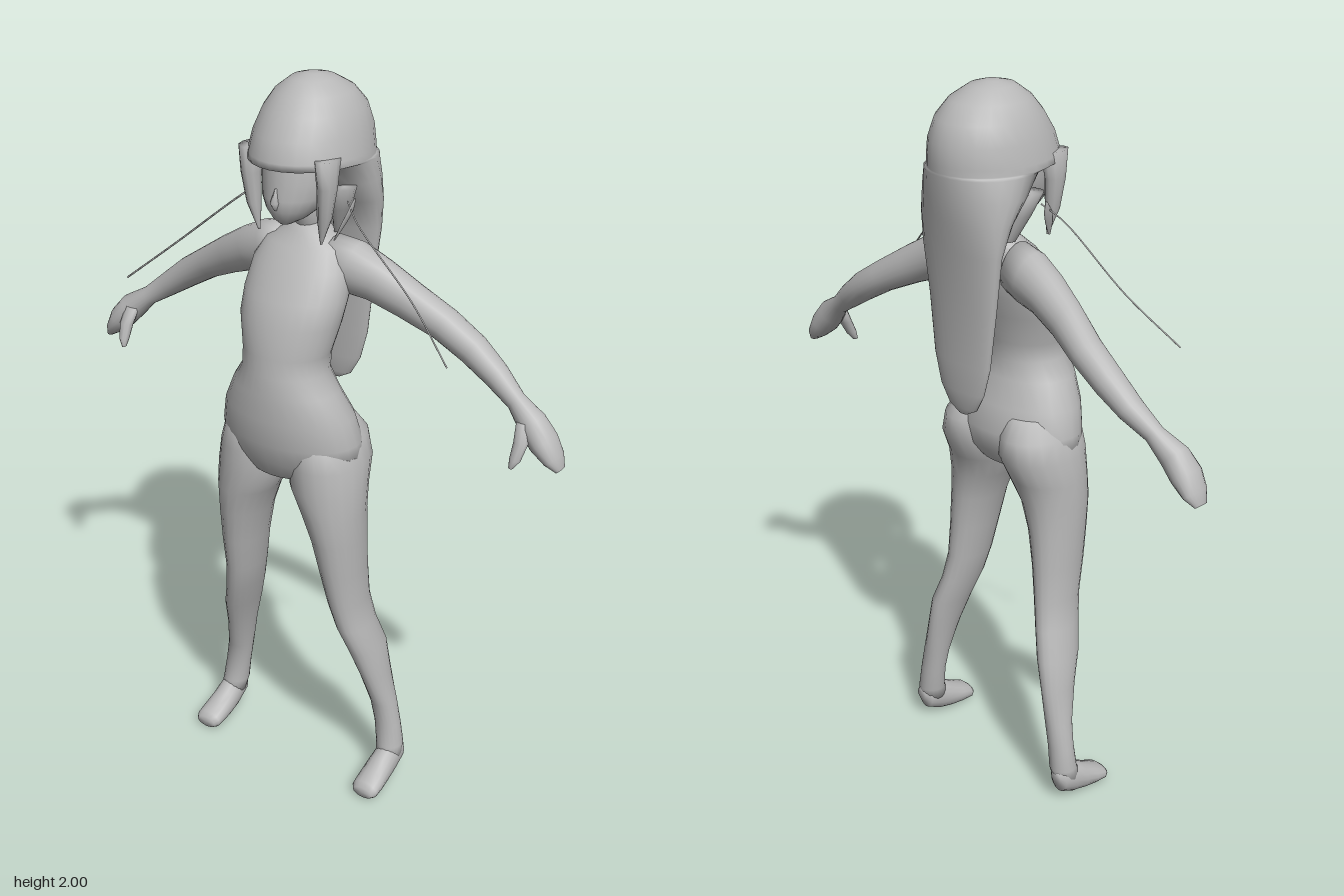
import * as THREE from 'three';

const grey = new THREE.MeshStandardMaterial({ color: 0xb8b8b8 });
grey.name = 'plain grey';

// Skin over elliptical rings {c, u, v}, where u x v points along the path; side -1 mirrors in x.
function skin(name, rings, side = 1, seg = 20) {
  const pos = [], idx = [], n = rings.length;
  const put = (p) => pos.push(p.x * side, p.y, p.z);
  const tri = (a, b, c) => (side > 0 ? idx.push(a, b, c) : idx.push(a, c, b));
  for (const { c, u, v } of rings) {
    for (let k = 0; k < seg; k++) {
      const a = (k / seg) * Math.PI * 2;
      put(c.clone().addScaledVector(u, Math.cos(a)).addScaledVector(v, Math.sin(a)));
    }
  }
  put(rings[0].c);
  put(rings[n - 1].c);
  for (let k = 0; k < seg; k++) {
    const k2 = (k + 1) % seg;
    for (let i = 0; i < n - 1; i++) {
      const a = i * seg + k, b = i * seg + k2;
      tri(a, b, a + seg);
      tri(b, b + seg, a + seg);
    }
    tri(n * seg, k2, k);
    tri(n * seg + 1, (n - 1) * seg + k, (n - 1) * seg + k2);
  }
  const g = new THREE.BufferGeometry();
  g.setAttribute('position', new THREE.Float32BufferAttribute(pos, 3));
  g.setIndex(idx);
  g.computeVertexNormals();
  const mesh = new THREE.Mesh(g, grey);
  mesh.name = name;
  return mesh;
}

const V = (x, y, z) => new THREE.Vector3(x, y, z);

// Level rings listed from the top down: [y, xMin, xMax, zFront, zBack]
const level = (rows) => rows.map(([y, x0, x1, zf, zb]) => ({
  c: V((x0 + x1) / 2, y, (zf + zb) / 2), u: V((x1 - x0) / 2, 0, 0), v: V(0, 0, (zf - zb) / 2),
}));
// Centred level rings: [y, halfWidth, zFront, zBack]
const centred = (rows) => level(rows.map(([y, w, zf, zb]) => [y, -w, w, zf, zb]));
// Upright rings listed from back to front: [z, xMin, xMax, yTop, yBottom]
const upright = (rows) => rows.map(([z, x0, x1, yt, yb]) => ({
  c: V((x0 + x1) / 2, (yt + yb) / 2, z), u: V((x1 - x0) / 2, 0, 0), v: V(0, (yt - yb) / 2, 0),
}));
// Rings square to a path in x and y: [x, y, z, radius, depthRadius]
const limb = (rows) => rows.map(([x, y, z, r, d], i) => {
  const a = rows[Math.max(i - 1, 0)], b = rows[Math.min(i + 1, rows.length - 1)];
  const t = V(b[0] - a[0], b[1] - a[1], 0).normalize();
  return { c: V(x, y, z), u: V(-t.y, t.x, 0).multiplyScalar(r), v: V(0, 0, d) };
});

export function createModel() {
  const model = new THREE.Group();
  model.name = 'figure';

  // Trunk from neck base to crotch
  model.add(skin('torso', centred([
    [1.635, 0.036, 0.02, -0.06], [1.61, 0.065, 0.035, -0.07], [1.58, 0.115, 0.065, -0.075],
    [1.53, 0.14, 0.105, -0.075], [1.46, 0.145, 0.147, -0.06], [1.4, 0.14, 0.175, -0.04],
    [1.32, 0.12, 0.188, -0.02], [1.27, 0.118, 0.194, -0.015], [1.22, 0.15, 0.2, -0.022],
    [1.15, 0.187, 0.2, -0.05], [1.08, 0.203, 0.197, -0.07], [1.02, 0.205, 0.178, -0.06],
    [0.975, 0.12, 0.16, -0.03], [0.948, 0.04, 0.11, 0.01],
  ]), 1, 28));

  model.add(skin('neck', centred([
    [1.73, 0.036, 0.045, -0.05], [1.67, 0.034, 0.03, -0.05], [1.6, 0.04, 0.022, -0.06],
  ])));

  // Head with a narrow chin and a small nose
  model.add(skin('head', centred([
    [1.92, 0.07, 0.07, -0.12], [1.86, 0.095, 0.11, -0.14], [1.8, 0.1, 0.124, -0.13],
    [1.76, 0.097, 0.126, -0.11], [1.72, 0.086, 0.134, -0.08], [1.69, 0.067, 0.13, -0.04],
    [1.665, 0.04, 0.118, 0.01], [1.652, 0.016, 0.104, 0.06],
  ]), 1, 24));
  model.add(skin('nose', centred([
    [1.75, 0.004, 0.13, 0.11], [1.715, 0.012, 0.147, 0.11], [1.695, 0.005, 0.135, 0.11],
  ]), 1, 8));

  // Rounded cap with a straight fringe, running into long back hair
  model.add(skin('hair', centred([
    [2.0, 0.02, -0.01, -0.05], [1.99, 0.055, 0.03, -0.09], [1.96, 0.095, 0.072, -0.145],
    [1.92, 0.122, 0.105, -0.183], [1.87, 0.138, 0.138, -0.203], [1.82, 0.148, 0.154, -0.205],
    [1.803, 0.149, 0.155, -0.205], [1.8, 0.148, 0.13, -0.205], [1.795, 0.148, 0.075, -0.205],
    [1.74, 0.15, 0.02, -0.2], [1.68, 0.146, -0.045, -0.193], [1.6, 0.136, -0.09, -0.18],
    [1.45, 0.118, -0.103, -0.165], [1.3, 0.1, -0.112, -0.162], [1.22, 0.078, -0.116, -0.16],
    [1.17, 0.05, -0.122, -0.15], [1.15, 0.015, -0.132, -0.142],
  ]), 1, 28));

  for (const s of [1, -1]) {
    const side = s > 0 ? 'left' : 'right';

    // Locks framing the face, and shorter ones beside the neck
    model.add(skin(side + 'FrontLock', level([
      [1.83, 0.085, 0.14, 0.115, 0.03], [1.76, 0.09, 0.138, 0.105, 0.045],
      [1.68, 0.088, 0.125, 0.094, 0.055], [1.61, 0.092, 0.097, 0.074, 0.068],
    ]), s, 10));
    model.add(skin(side + 'NeckLock', level([
      [1.74, 0.08, 0.14, 0.03, -0.04], [1.68, 0.07, 0.115, 0.01, -0.05],
      [1.61, 0.065, 0.08, -0.02, -0.05],
    ]), s, 10));

    // Hair ribbon with a short bow end and a long thin tail
    model.add(skin(side + 'BowEnd', level([
      [1.72, 0.148, 0.152, 0.012, 0.004], [1.69, 0.142, 0.148, 0.035, 0.005],
      [1.66, 0.132, 0.138, 0.048, 0.02], [1.62, 0.118, 0.121, 0.055, 0.048],
    ]), s, 8));
    const tail = new THREE.CatmullRomCurve3([
      V(0.13 * s, 1.71, 0.01), V(0.18 * s, 1.67, 0.04), V(0.36 * s, 1.52, 0.072), V(0.495 * s, 1.405, 0.127),
    ]);
    const ribbon = new THREE.Mesh(new THREE.TubeGeometry(tail, 16, 0.0025, 4), grey);
    ribbon.name = side + 'RibbonTail';
    model.add(ribbon);

    // Arm and mitten hand
    model.add(skin(side + 'Arm', limb([
      [0.07, 1.54, -0.015, 0.07, 0.055], [0.13, 1.528, -0.025, 0.072, 0.06],
      [0.2, 1.505, -0.035, 0.06, 0.054], [0.28, 1.465, -0.05, 0.052, 0.047],
      [0.37, 1.415, -0.073, 0.044, 0.045], [0.45, 1.365, -0.08, 0.041, 0.041],
      [0.52, 1.315, -0.077, 0.034, 0.035], [0.585, 1.268, -0.064, 0.026, 0.025],
      [0.64, 1.225, -0.052, 0.038, 0.038], [0.675, 1.187, -0.049, 0.036, 0.044],
      [0.705, 1.15, -0.05, 0.023, 0.038], [0.724, 1.125, -0.05, 0.009, 0.02],
    ]), s));
    model.add(skin(side + 'Thumb', limb([
      [0.625, 1.235, -0.035, 0.02, 0.02], [0.632, 1.19, -0.012, 0.02, 0.018],
      [0.628, 1.15, 0.006, 0.015, 0.015], [0.622, 1.128, 0.015, 0.006, 0.007],
    ]), s, 10));

    // Leg, splayed outward
    model.add(skin(side + 'Leg', level([
      [1.13, 0.03, 0.16, 0.13, -0.045], [1.08, 0.015, 0.196, 0.168, -0.08],
      [1.02, 0.008, 0.213, 0.174, -0.082], [0.95, 0.015, 0.22, 0.172, -0.048],
      [0.88, 0.055, 0.221, 0.168, -0.03], [0.8, 0.085, 0.221, 0.155, -0.025],
      [0.7, 0.108, 0.22, 0.14, -0.026], [0.6, 0.126, 0.221, 0.12, -0.03],
      [0.52, 0.146, 0.233, 0.104, -0.042], [0.44, 0.172, 0.258, 0.08, -0.06],
      [0.35, 0.198, 0.268, 0.05, -0.063], [0.25, 0.216, 0.289, 0.018, -0.061],
      [0.18, 0.228, 0.303, 0.01, -0.06], [0.11, 0.237, 0.314, 0.015, -0.063],
      [0.07, 0.245, 0.314, 0.03, -0.055],
    ]), s));
    model.add(skin(side + 'Foot', upright([
      [-0.06, 0.265, 0.3, 0.105, 0.07], [-0.045, 0.25, 0.312, 0.12, 0.035],
      [0, 0.243, 0.316, 0.115, 0.012], [0.04, 0.24, 0.318, 0.09, 0.003],
      [0.08, 0.239, 0.321, 0.066, 0], [0.112, 0.24, 0.321, 0.05, 0],
      [0.125, 0.25, 0.312, 0.038, 0.006],
    ]), s, 16));
  }
  return model;
}
